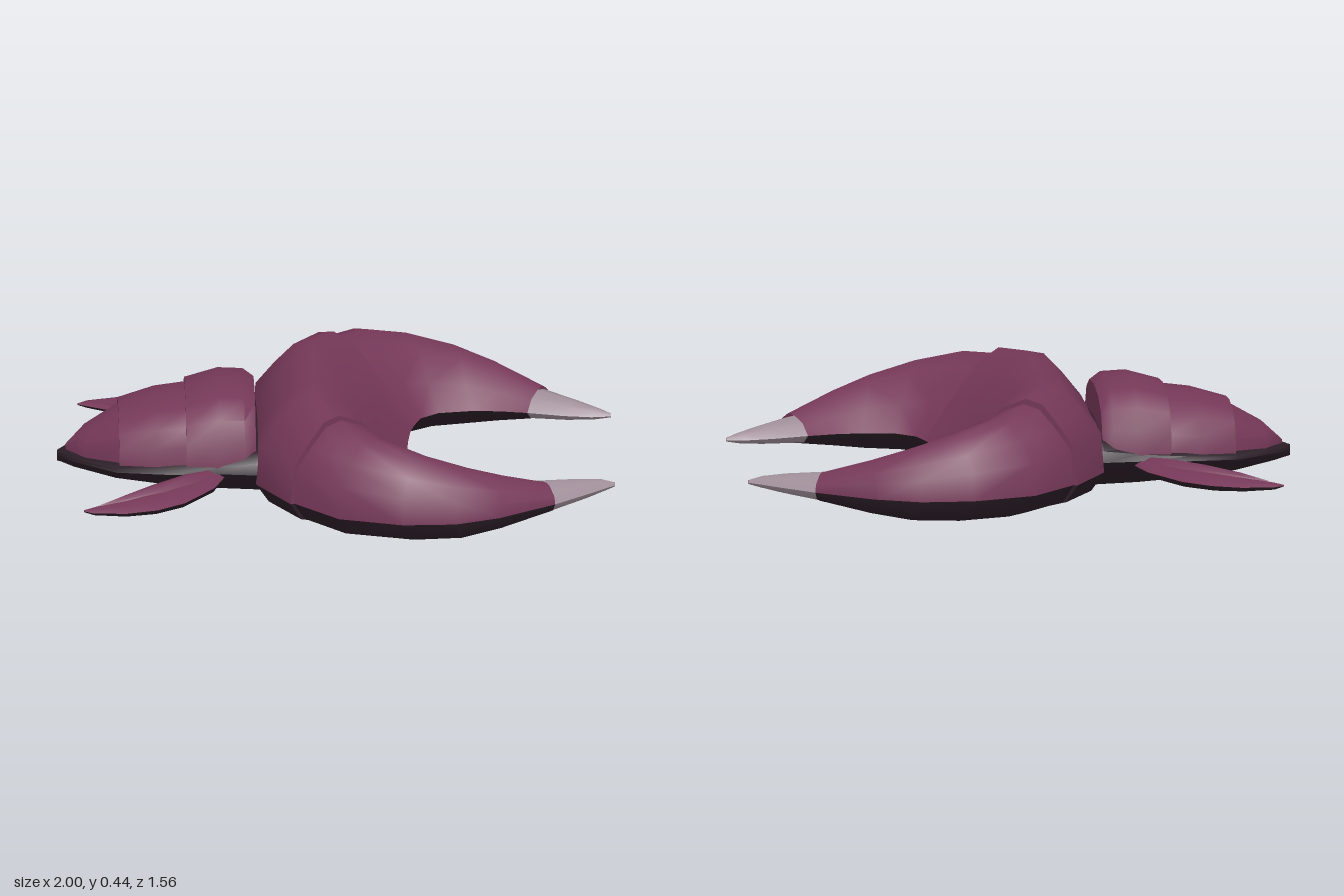
import * as THREE from 'three';
import { toCreasedNormals } from 'three/addons/utils/BufferGeometryUtils.js';

const material = (name, color) => {
  const m = new THREE.MeshStandardMaterial({ color, side: THREE.DoubleSide });
  m.name = name;
  return m;
};

// Cross-section profiles: [fraction across the width, fraction of the height]
const HORN_TOP = [[0, 0], [0.02, 0.45], [0.14, 0.72], [0.26, 0.95], [0.38, 1], [0.55, 0.87], [0.8, 0.42], [1, 0]];
const DOME = [[0, 0], [0.015, 0.4], [0.08, 0.7], [0.24, 0.92], [0.5, 1], [0.76, 0.92], [0.92, 0.7], [0.985, 0.4], [1, 0]];
const BELLY = [[0, 0], [0.08, -0.65], [0.27, -0.95], [0.52, -1], [0.85, -0.72], [1, 0]];
const HULL = [[0, 0], [0.08, -0.4], [0.25, -0.8], [0.5, -1], [0.75, -0.8], [0.92, -0.4], [1, 0]];
const LEAF_TOP = [[0, 0], [0.2, 0.7], [0.5, 1], [0.8, 0.7], [1, 0]];

// Station: [outer x, outer z, inner x, inner z, rim y, height above rim, depth below rim]
function loft(stations, profile, mirror = 1) {
  const pos = [], idx = [], n = profile.length, last = (stations.length - 1) * n;
  const top = profile[1][1] > 0;
  for (const [ox, oz, ix, iz, rim, h, d] of stations) {
    for (const [t, f] of profile) {
      pos.push(ox + (ix - ox) * t, rim + f * (top ? h : d), mirror * (oz + (iz - oz) * t));
    }
  }
  // Work out which way the strip faces so that corners always run outward
  const a = stations[1], b = stations[2];
  const up = (a[3] - a[1]) * (b[0] + b[2] - a[0] - a[2]) - (a[2] - a[0]) * (b[1] + b[3] - a[1] - a[3]);
  const flip = (up * mirror > 0) !== top;
  const tri = (p, q, r) => (flip ? idx.push(p, r, q) : idx.push(p, q, r));
  for (let i = 0; i < stations.length - 1; i++) {
    for (let j = 0; j < n - 1; j++) {
      const k = i * n + j;
      tri(k, k + 1, k + n);
      tri(k + 1, k + n + 1, k + n);
    }
  }
  for (let j = 1; j < n - 1; j++) {
    tri(0, j + 1, j);
    tri(last, last + j, last + j + 1);
  }
  const g = new THREE.BufferGeometry();
  g.setAttribute('position', new THREE.Float32BufferAttribute(pos, 3));
  g.setIndex(idx);
  return toCreasedNormals(g, 0.8);
}

// Stations symmetric about z = 0, from [x, half width, rim, height, depth]
const straight = (rows) => rows.map(([x, w, rim, h, d]) => [x, -w, x, w, rim, h, d]);

export function createModel() {
  const shell = material('maroon shell', 0x753858);
  const under = material('dark underside', 0x2b1e27);
  const horn = material('pale claw tip', 0xa08f9a);
  const root = new THREE.Group();
  root.name = 'crescentCreature';
  const add = (parent, name, geometry, mat) => {
    const mesh = new THREE.Mesh(geometry, mat);
    mesh.name = name;
    parent.add(mesh);
    return mesh;
  };

  // Middle of the crescent
  const half = [
    [-0.29, 0.15, 0.265, 0.1, 0.125, 0.325, 0.105],
    [-0.29, 0.34, 0.275, 0.2, 0.125, 0.32, 0.105],
    [-0.17, 0.55, 0.29, 0.27, 0.125, 0.3, 0.1],
  ];
  const centre = [
    ...half.map(([ox, oz, ix, iz, ...r]) => [ox, -oz, ix, -iz, ...r]).reverse(),
    [-0.29, 0, 0.26, 0, 0.125, 0.315, 0.105],
    ...half,
  ];
  add(root, 'centreShell', loft(centre, HORN_TOP), shell);
  add(root, 'centreUnderside', loft(centre, BELLY), under);

  // Dark body beneath the shells, tail to head
  const body = straight([
    [-1, 0.01, 0.12, 0.02, 0.02],
    [-0.94, 0.1, 0.13, 0.025, 0.045],
    [-0.79, 0.245, 0.14, 0.03, 0.08],
    [-0.6, 0.3, 0.15, 0.04, 0.115],
    [-0.43, 0.31, 0.155, 0.06, 0.135],
    [-0.29, 0.34, 0.16, 0.1, 0.143],
    [-0.02, 0.3, 0.125, 0.1, 0.12],
    [0.13, 0.2, 0.1, 0.04, 0.085],
    [0.22, 0.1, 0.08, 0.02, 0.03],
  ]);
  add(root, 'bodyTop', loft(body, DOME), under);
  add(root, 'bodyUnderside', loft(body, HULL), under);

  // Overlapping abdomen plates, front to tail
  const plates = [
    [[-0.54, 0.287, 0.16, 0.22], [-0.42, 0.305, 0.165, 0.25], [-0.33, 0.305, 0.17, 0.24], [-0.29, 0.285, 0.18, 0.2]],
    [[-0.78, 0.222, 0.15, 0.162], [-0.65, 0.265, 0.15, 0.2], [-0.53, 0.277, 0.16, 0.205]],
    [[-0.97, 0.02, 0.15, 0.01], [-0.9, 0.115, 0.15, 0.075], [-0.77, 0.212, 0.15, 0.148]],
  ];
  plates.forEach((rows, i) => add(root, `abdomenPlate${i + 1}`, loft(straight(rows), DOME), shell));

  // Small head tucked under the inner edge
  const head = add(root, 'head', new THREE.SphereGeometry(1, 16, 10), under);
  head.scale.set(0.12, 0.045, 0.12);
  head.position.set(0.14, 0.075, 0);

  // Paired parts
  const claw = [
    [-0.16, 0.54, 0.29, 0.27, 0.125, 0.28, 0.1],
    [0, 0.71, 0.315, 0.345, 0.125, 0.262, 0.1],
    [0.23, 0.78, 0.38, 0.4, 0.125, 0.218, 0.097],
    [0.42, 0.775, 0.5, 0.42, 0.125, 0.168, 0.09],
    [0.58, 0.71, 0.6, 0.415, 0.125, 0.12, 0.07],
    [0.78, 0.57, 0.7, 0.395, 0.125, 0.06, 0.042],
  ];
  const tip = [
    [0.78, 0.57, 0.7, 0.395, 0.125, 0.058, 0.04],
    [0.9, 0.465, 0.83, 0.36, 0.125, 0.04, 0.028],
    [0.97, 0.4, 0.93, 0.345, 0.125, 0.024, 0.016],
    [1, 0.375, 1, 0.352, 0.125, 0.008, 0.006],
  ];
  const fin = [
    [-0.4, 0.29, -0.46, 0.27, 0.14, 0.02, 0.02],
    [-0.44, 0.4, -0.52, 0.31, 0.135, 0.022, 0.028],
    [-0.55, 0.53, -0.63, 0.37, 0.125, 0.025, 0.03],
    [-0.65, 0.59, -0.72, 0.43, 0.12, 0.025, 0.028],
    [-0.76, 0.61, -0.8, 0.48, 0.115, 0.02, 0.022],
    [-0.88, 0.59, -0.88, 0.54, 0.11, 0.012, 0.012],
    [-0.915, 0.567, -0.915, 0.56, 0.11, 0.003, 0.003],
  ];
  const finRidge = [
    [-0.43, 0.3, -0.47, 0.28, 0.145, 0.022],
    [-0.48, 0.39, -0.56, 0.315, 0.14, 0.033],
    [-0.62, 0.49, -0.67, 0.395, 0.13, 0.037],
    [-0.76, 0.545, -0.77, 0.475, 0.12, 0.03],
    [-0.86, 0.557, -0.86, 0.55, 0.115, 0.012],
  ];
  for (const [side, m] of [['front', 1], ['back', -1]]) {
    const g = new THREE.Group();
    g.name = `${side}Limbs`;
    root.add(g);
    add(g, `${side}ClawShell`, loft(claw, HORN_TOP, m), shell);
    add(g, `${side}ClawUnderside`, loft(claw, BELLY, m), under);
    add(g, `${side}ClawTipTop`, loft(tip, LEAF_TOP, m), horn);
    add(g, `${side}ClawTipUnderside`, loft(tip, BELLY, m), horn);
    add(g, `${side}FinTop`, loft(fin, LEAF_TOP, m), shell);
    add(g, `${side}FinUnderside`, loft(fin, BELLY, m), under);
    add(g, `${side}FinRidge`, loft(finRidge, LEAF_TOP, m), shell);
    const eye = add(g, `${side}Eye`, new THREE.SphereGeometry(1, 10, 8), under);
    eye.scale.set(0.03, 0.014, 0.035);
    eye.position.set(0.22, 0.09, 0.08 * m);
  }
  return root;
}
